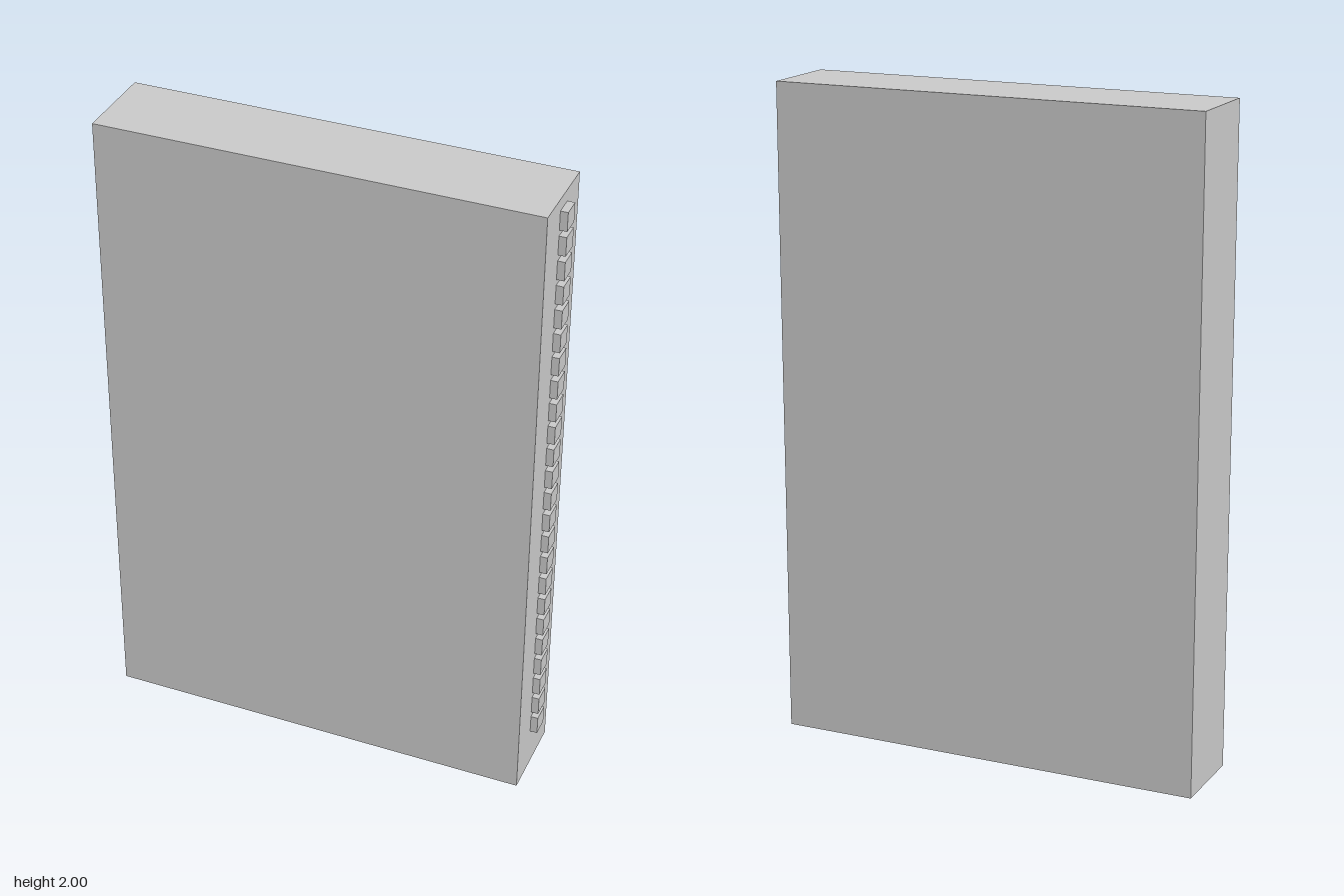
import * as THREE from 'three';

export function createModel() {
  const model = new THREE.Group();
  const material = new THREE.MeshStandardMaterial({ color: 0xcccccc, flatShading: true });

  function addBox(parent, name, size, position) {
    const mesh = new THREE.Mesh(new THREE.BoxGeometry(...size), material);
    mesh.name = name;
    mesh.position.set(...position);
    parent.add(mesh);
  }

  // Upright slab
  const left = -0.675, right = 0.652;
  addBox(model, 'body', [right - left, 2, 0.265], [(left + right) / 2, 1, 0]);

  // Column of small square studs on one narrow side
  const studs = new THREE.Group();
  studs.name = 'studColumn';
  const count = 24, bottom = 0.162, top = 1.933, depth = 0.022;
  for (let i = 0; i < count; i++) {
    const y = bottom + ((top - bottom) * i) / (count - 1);
    addBox(studs, 'stud', [depth, 0.059, 0.058], [right + depth / 2, y, -0.005]);
  }
  model.add(studs);

  return model;
}
